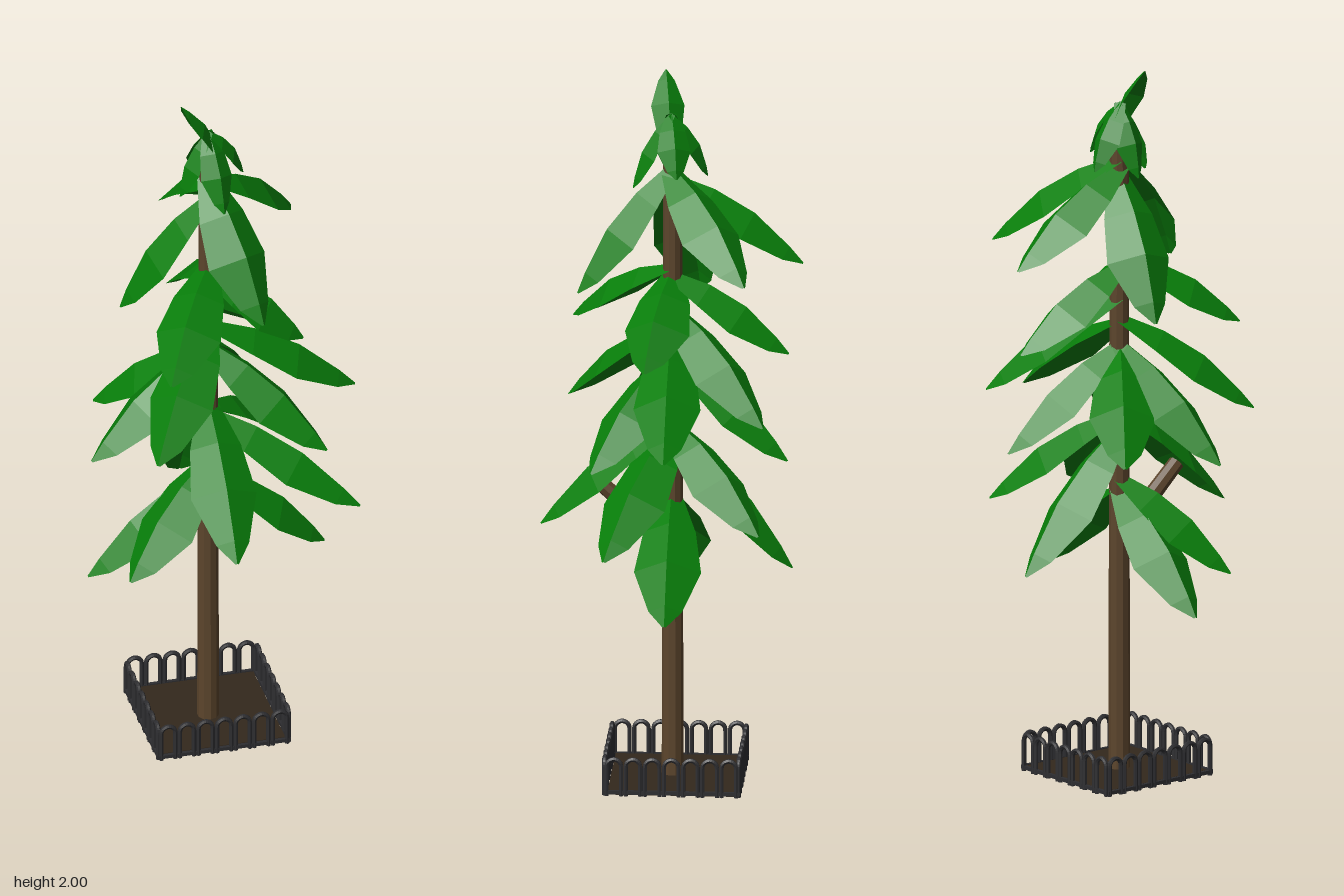
import * as THREE from 'three';

const CX = -0.034; // trunk axis
const CZ = -0.011; // planter centre

const mat = (color, extra = {}) => new THREE.MeshStandardMaterial({ color, flatShading: true, ...extra });
const v = (x, y, z) => new THREE.Vector3(x, y, z);

// Folded leaf frond: a ridge from base to tip with two drooping sides
function leafGeometry(base, tip, halfWidth, fold, bulge) {
  const stations = [[0, 0.3], [0.28, 0.78], [0.57, 1], [0.87, 0.5], [1, 0.05]]; // [t, width]
  const dir = tip.clone().sub(base).normalize();
  const side = v(dir.z, 0, -dir.x).normalize();
  const up = new THREE.Vector3().crossVectors(dir, side);
  const pos = [], idx = [];
  stations.forEach(([t, w], i) => {
    const ridge = base.clone().lerp(tip, t).addScaledVector(up, bulge * Math.sin(Math.PI * t));
    for (const s of [-1, 0, 1]) {
      const p = ridge.clone().addScaledVector(side, s * w * halfWidth).addScaledVector(up, -Math.abs(s) * w * fold);
      pos.push(p.x, p.y, p.z);
    }
    if (i === 0) return;
    const a = (i - 1) * 3, b = i * 3;
    for (const k of [0, 1]) idx.push(a + k, b + k, a + k + 1, a + k + 1, b + k, b + k + 1);
  });
  const geo = new THREE.BufferGeometry();
  geo.setAttribute('position', new THREE.Float32BufferAttribute(pos, 3));
  geo.setIndex(idx);
  const flat = geo.toNonIndexed();
  flat.computeVertexNormals();
  return flat;
}

// Tapered rod between two points
function rod(from, to, r0, r1, sides, material) {
  const d = to.clone().sub(from);
  const m = new THREE.Mesh(new THREE.CylinderGeometry(r1, r0, d.length(), sides), material);
  m.position.copy(from).addScaledVector(d, 0.5);
  m.quaternion.setFromUnitVectors(v(0, 1, 0), d.normalize());
  return m;
}

export function createModel() {
  const model = new THREE.Group();
  const bark = mat(0x5c452c);
  const green = mat(0x087f0a, { side: THREE.DoubleSide });
  const iron = mat(0x2e2e31);

  // Trunk and the bare branch
  const trunk = rod(v(CX, 0, -0.003), v(CX, 1.86, -0.003), 0.03, 0.026, 10, bark);
  trunk.name = 'trunk';
  const branch = rod(v(CX, 0.665, 0), v(CX, 0.845, 0.2), 0.026, 0.022, 8, bark);
  branch.name = 'branch';
  model.add(trunk, branch);

  // Fronds: tip x, y, z and the height where each leaves the trunk
  const fronds = [
    [-0.373, 0.51, -0.01, 0.82], [0.295, 0.53, 0, 0.82], [-0.03, 0.61, -0.333, 0.99], [-0.3, 0.59, 0.175, 0.85],
    [-0.045, 0.72, 0.36, 1.03], [0.354, 0.73, 0.163, 1.01], [0.22, 0.77, -0.255, 1.03],
    [-0.383, 0.93, 0.07, 1.23], [-0.307, 0.95, -0.206, 1.22], [0.055, 0.94, -0.325, 1.23],
    [0.25, 0.95, 0.205, 1.22], [0.382, 1.02, -0.003, 1.29], [-0.252, 1.03, 0.296, 1.3], [0.22, 1.08, -0.267, 1.36],
    [0.22, 1.23, 0.06, 1.45], [-0.21, 1.27, 0.28, 1.47], [0, 1.23, -0.325, 1.45],
    [-0.268, 1.33, -0.065, 1.7], [0.058, 1.41, 0.253, 1.76], [-0.033, 1.48, -0.362, 1.73], [0.253, 1.49, -0.217, 1.75],
  ];
  const foliage = new THREE.Group();
  foliage.name = 'foliage';
  for (const [x, y, z, h] of fronds) {
    const leaf = new THREE.Mesh(leafGeometry(v(CX, h, 0), v(x, y, z), 0.092, 0.06, 0.04), green);
    leaf.name = 'frond';
    foliage.add(leaf);
  }

  // Small crown leaves, the last one pointing up
  const crown = [[-0.115, 1.7, 0, 1.9], [0.07, 1.74, -0.02, 1.9], [-0.015, 1.69, 0.105, 1.9], [-0.045, 1.72, -0.1, 1.9],
    [-0.115, 2, 0.02, 1.8]];
  for (const [x, y, z, h] of crown) {
    const leaf = new THREE.Mesh(leafGeometry(v(h < y ? 0 : CX, h, 0), v(x, y, z), 0.046, 0.032, 0.024), green);
    leaf.name = 'crownLeaf';
    foliage.add(leaf);
  }
  model.add(foliage);

  // Soil plate
  const soil = new THREE.Mesh(new THREE.BoxGeometry(0.35, 0.014, 0.35), mat(0x33281c));
  soil.name = 'soil';
  soil.position.set(CX, 0.009, CZ);
  model.add(soil);

  // Hooped fence on four sides
  const HALF = 0.184, COUNT = 7, pitch = (2 * HALF) / COUNT, r = 0.02;
  const hoop = new THREE.CurvePath();
  const pts = [v(-r, 0.002, 0)];
  for (let i = 0; i <= 8; i++) {
    const a = Math.PI - (Math.PI * i) / 8;
    pts.push(v(r * Math.cos(a), 0.086 + r * Math.sin(a), 0));
  }
  pts.push(v(r, 0.002, 0));
  for (let i = 1; i < pts.length; i++) hoop.add(new THREE.LineCurve3(pts[i - 1], pts[i]));
  const hoopGeo = new THREE.TubeGeometry(hoop, 40, 0.0065, 6);
  for (let s = 0; s < 4; s++) {
    const panel = new THREE.Group();
    panel.name = 'fenceSide';
    for (let i = 0; i < COUNT; i++) {
      const m = new THREE.Mesh(hoopGeo, iron);
      m.name = 'hoop';
      m.position.set(-HALF + (i + 0.5) * pitch, 0, HALF);
      panel.add(m);
    }
    const rail = new THREE.Mesh(new THREE.BoxGeometry(2 * HALF, 0.01, 0.01), iron);
    rail.name = 'rail';
    rail.position.set(0, 0.012, HALF);
    panel.add(rail);
    panel.rotation.y = (s * Math.PI) / 2;
    panel.position.set(CX, 0, CZ);
    model.add(panel);
  }
  return model;
}
